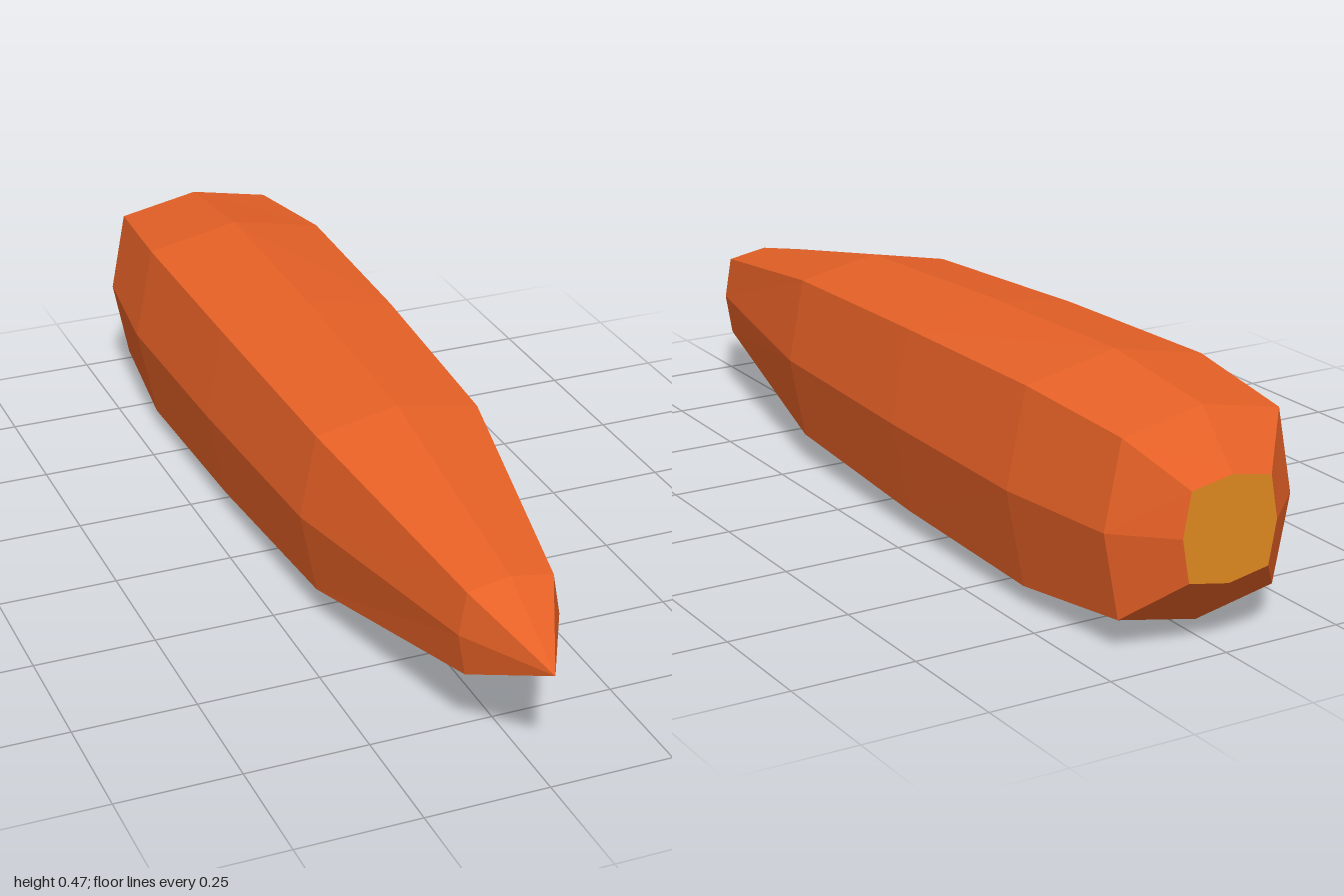
import * as THREE from 'three';

const CENTRE_Y = 0.238;

// Eight-sided section: r on the axes, c on both coordinates of the diagonals
function section(r, c) {
  return Array.from({ length: 8 }, (_, j) => {
    const a = (j * Math.PI) / 4;
    const d = j % 2 ? c * Math.SQRT2 : r;
    return new THREE.Vector2(Math.cos(a) * d, Math.sin(a) * d);
  });
}

// Stations along the body, tip to back: z, axis radius, diagonal offset
const STATIONS = [
  [1, 0, 0],
  [0.81, 0.102, 0.087],
  [0.29, 0.206, 0.172],
  [-0.19, 0.228, 0.19],
  [-0.63, 0.237, 0.197],
  [-0.905, 0.206, 0.172],
  [-1, 0.103, 0.087],
];

function loft(stations) {
  const rings = stations.map(([z, r, c]) =>
    section(r, c).map((p) => new THREE.Vector3(p.x, p.y, z)));
  const points = [];
  for (let i = 0; i < rings.length - 1; i++) {
    for (let j = 0; j < 8; j++) {
      const k = (j + 1) % 8;
      const [a, b, c, d] = [rings[i][j], rings[i + 1][j], rings[i + 1][k], rings[i][k]];
      points.push(a, b, c);
      if (stations[i][1] > 0) points.push(a, c, d); // the tip needs single triangles
    }
  }
  const geometry = new THREE.BufferGeometry().setFromPoints(points);
  geometry.computeVertexNormals();
  return geometry;
}

export function createModel() {
  const group = new THREE.Group();
  group.name = 'taperedRoot';

  const orange = new THREE.MeshStandardMaterial({ color: 0xe56026, flatShading: true });
  orange.name = 'orange';
  const ochre = new THREE.MeshStandardMaterial({ color: 0xe08a20, flatShading: true });
  ochre.name = 'ochre';

  // Faceted tapering body
  const body = new THREE.Mesh(loft(STATIONS), orange);
  body.name = 'body';
  body.position.y = CENTRE_Y;

  // Flat cut end facing backwards
  const [z, r, c] = STATIONS[STATIONS.length - 1];
  const cutEnd = new THREE.Mesh(new THREE.ShapeGeometry(new THREE.Shape(section(r, c))), ochre);
  cutEnd.name = 'cutEnd';
  cutEnd.rotation.y = Math.PI;
  cutEnd.position.set(0, CENTRE_Y, z);

  group.add(body, cutEnd);
  return group;
}
